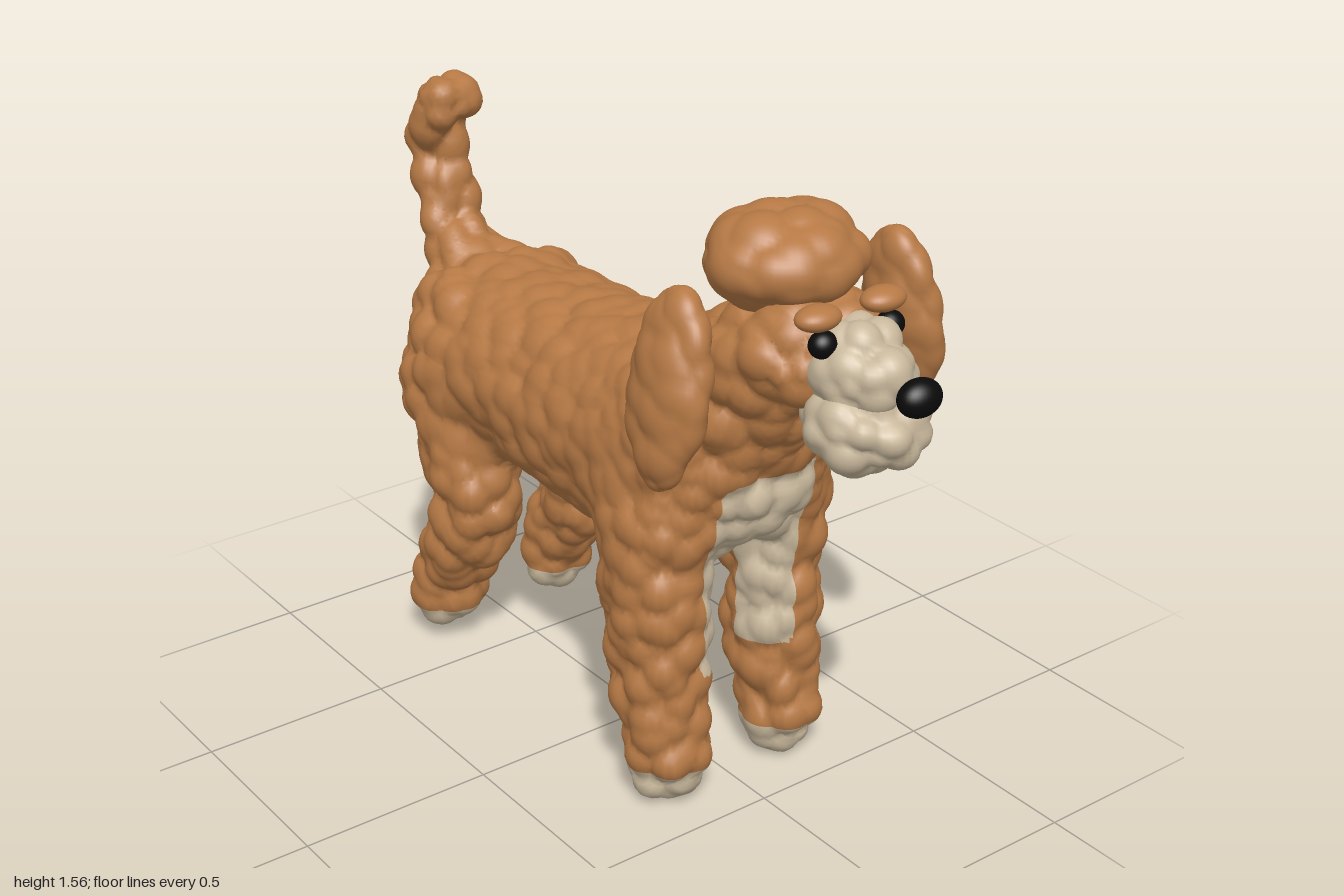
import * as THREE from 'three';
import { mergeVertices } from 'three/addons/utils/BufferGeometryUtils.js';

const mat = (name, color) => {
  const m = new THREE.MeshStandardMaterial({ color });
  m.name = name;
  return m;
};

// Seeded cell noise: rounded tufts with creases between them
const hash = (x, y, z, k) => {
  const s = Math.sin(x * 127.1 + y * 311.7 + z * 74.7 + k * 53.3) * 43758.5453;
  return s - Math.floor(s);
};
function tuft(x, y, z) {
  const ix = Math.floor(x), iy = Math.floor(y), iz = Math.floor(z);
  let best = 1;
  for (let a = ix - 1; a <= ix + 1; a++)
    for (let b = iy - 1; b <= iy + 1; b++)
      for (let c = iz - 1; c <= iz + 1; c++) {
        const dx = a + hash(a, b, c, 1) - x;
        const dy = b + hash(a, b, c, 2) - y;
        const dz = c + hash(a, b, c, 3) - z;
        best = Math.min(best, dx * dx + dy * dy + dz * dz);
      }
  return 0.5 - best;
}

// Push a surface in and out along its normals to make curly fur
function fluff(geo, cell, amp) {
  geo.computeVertexNormals();
  const p = geo.attributes.position, n = geo.attributes.normal;
  for (let i = 0; i < p.count; i++) {
    const x = p.getX(i), y = p.getY(i), z = p.getZ(i);
    const d = amp(y, z) * tuft(x / cell, y / cell, z / cell);
    p.setXYZ(i, x + n.getX(i) * d, y + n.getY(i) * d, z + n.getZ(i) * d);
  }
  geo.computeVertexNormals();
  return geo;
}

// Distance to a limb through points [x, y, z, half width in x, radius]
function limb(points, x, y, z) {
  let best = 9;
  for (let i = 1; i < points.length; i++) {
    const a = points[i - 1], b = points[i], dy = b[1] - a[1], dz = b[2] - a[2];
    const t = Math.max(0, Math.min(1, ((y - a[1]) * dy + (z - a[2]) * dz) / (dy * dy + dz * dz)));
    const r = a[4] + (b[4] - a[4]) * t, rx = a[3] + (b[3] - a[3]) * t;
    const ex = (x - a[0] - (b[0] - a[0]) * t) * r / rx, ey = y - a[1] - dy * t, ez = z - a[2] - dz * t;
    best = Math.min(best, Math.sqrt(ex * ex + ey * ey + ez * ez) - r);
  }
  return best;
}
const blend = (a, b, k) => Math.min(a, b) - Math.max(k - Math.abs(a - b), 0) ** 2 / (4 * k);

// Smooth skin over a distance field, one vertex per grid cell it crosses
function skin(field, lo, n, h) {
  const step = [1, n[0], n[0] * n[1]], val = new Float32Array(n[0] * n[1] * n[2]);
  const id = new Int32Array(val.length), pos = [], idx = [];
  const each = (end, f) => {
    for (let k = 0; k < n[2] - end; k++)
      for (let j = 0; j < n[1] - end; j++)
        for (let i = 0; i < n[0] - end; i++) f(i, j, k, i + j * step[1] + k * step[2]);
  };
  each(0, (i, j, k, c) => { val[c] = field(lo[0] + i * h, lo[1] + j * h, lo[2] + k * h); });
  each(1, (i, j, k, c) => {
    if (Math.abs(val[c]) > 4 * h) return;
    const s = [0, 0, 0];
    let count = 0;
    for (let e = 0; e < 12; e++) {
      const a = e % 3, b = (a + 1) % 3, d = (a + 2) % 3, u = Math.floor(e / 3) % 2, v = Math.floor(e / 6);
      const p = c + u * step[b] + v * step[d], v0 = val[p], v1 = val[p + step[a]];
      if (v0 < 0 === v1 < 0) continue;
      s[a] += v0 / (v0 - v1);
      s[b] += u;
      s[d] += v;
      count++;
    }
    if (!count) return;
    id[c] = pos.length / 3;
    pos.push(lo[0] + (i + s[0] / count) * h, lo[1] + (j + s[1] / count) * h, lo[2] + (k + s[2] / count) * h);
    for (let a = 0; a < 3; a++) {
      const inside = val[c] < 0, b = step[(a + 1) % 3], d = step[(a + 2) % 3];
      if (inside === val[c + step[a]] < 0) continue;
      const q = [id[c], id[c - b], id[c - b - d], id[c - d]];
      if (!inside) q.reverse();
      idx.push(q[0], q[1], q[2], q[0], q[2], q[3]);
    }
  });
  const geo = new THREE.BufferGeometry();
  geo.setAttribute('position', new THREE.Float32BufferAttribute(pos, 3));
  geo.setIndex(idx);
  return geo;
}

function ball(c, r, w = 32, h = 20) {
  const g = new THREE.SphereGeometry(1, w, h);
  g.deleteAttribute('uv');
  g.deleteAttribute('normal');
  const m = mergeVertices(g).scale(...r).translate(...c);
  m.computeVertexNormals();
  return m;
}

// Split triangles along an axis plane so colour borders stay straight
function cut(tris, axis, v) {
  return tris.flatMap(t => {
    const over = t.filter(a => a[axis] >= v).length;
    if (over === 0 || over === 3) return [t];
    return [1, -1].flatMap(s => {
      const poly = [];
      t.forEach((a, i) => {
        const b = t[(i + 1) % 3], da = s * (a[axis] - v), db = s * (b[axis] - v);
        if (da >= 0) poly.push(a);
        if (da * db < 0) poly.push(a.map((c, k) => c + (b[k] - c) * da / (da - db)));
      });
      return poly.slice(2).map((c, i) => [poly[0], poly[i + 1], c]);
    });
  });
}

// Two material groups: 0 outside the marking, 1 inside it
function paint(geo, cuts, inside) {
  const g = geo.toNonIndexed(), p = g.attributes.position, n = g.attributes.normal;
  let tris = [];
  for (let i = 0; i < p.count; i += 3)
    tris.push([i, i + 1, i + 2].map(k => [p.getX(k), p.getY(k), p.getZ(k), n.getX(k), n.getY(k), n.getZ(k)]));
  for (const [axis, v] of cuts) tris = cut(tris, axis, v);
  const parts = [[], []];
  for (const t of tris) {
    const mid = [0, 1, 2].map(k => (t[0][k] + t[1][k] + t[2][k]) / 3);
    parts[inside(...mid) ? 1 : 0].push(t);
  }
  const all = parts.flat().flat(), out = new THREE.BufferGeometry();
  out.setAttribute('position', new THREE.Float32BufferAttribute(all.flatMap(v => v.slice(0, 3)), 3));
  out.setAttribute('normal', new THREE.Float32BufferAttribute(all.flatMap(v => v.slice(3)), 3));
  out.addGroup(0, parts[0].length * 3, 0);
  out.addGroup(parts[0].length * 3, parts[1].length * 3, 1);
  return out;
}

// Limbs of the coat; legs are mirrored in x
const trunk = [[0, 0.89, -0.68, 0.2, 0.16], [0, 0.85, -0.55, 0.275, 0.222], [0, 0.835, -0.2, 0.272, 0.258],
  [0, 0.845, 0.1, 0.272, 0.277], [0, 0.9, 0.265, 0.265, 0.272], [0, 1.07, 0.4, 0.213, 0.185],
  [0, 1.23, 0.56, 0.175, 0.138], [0, 1.25, 0.64, 0.168, 0.123]];
const frontLeg = [[0.14, 0.92, 0.25, 0.09, 0.12], [0.185, 0.72, 0.285, 0.112, 0.14], [0.18, 0.5, 0.29, 0.112, 0.135],
  [0.178, 0.3, 0.302, 0.102, 0.12], [0.175, 0.13, 0.335, 0.098, 0.096], [0.18, 0.075, 0.34, 0.086, 0.07]];
const hindLeg = [[0.12, 0.92, -0.63, 0.09, 0.11], [0.17, 0.74, -0.6, 0.112, 0.15], [0.18, 0.6, -0.52, 0.112, 0.135],
  [0.18, 0.48, -0.497, 0.108, 0.118], [0.18, 0.35, -0.53, 0.1, 0.105], [0.18, 0.2, -0.637, 0.088, 0.09],
  [0.18, 0.12, -0.655, 0.09, 0.085], [0.18, 0.1, -0.658, 0.084, 0.072]];
const tail = [[0, 0.95, -0.75, 0.1, 0.085], [0, 1.05, -0.82, 0.085, 0.072], [0, 1.17, -0.887, 0.07, 0.066],
  [0, 1.3, -0.918, 0.068, 0.07], [0, 1.39, -0.893, 0.07, 0.068], [0, 1.425, -0.865, 0.08, 0.068]];

export function createModel() {
  const brown = mat('brown fur', 0xb67945);
  const cream = mat('cream fur', 0xc9b89c);
  const black = mat('black', 0x0a0a0a);
  const dog = new THREE.Group();
  dog.name = 'dog';
  const add = (name, geo, material) => {
    const m = new THREE.Mesh(geo, material);
    m.name = name;
    dog.add(m);
    return m;
  };

  // Coat: trunk, neck, head, legs and tail in one skin, smoother on the flanks
  const coat = skin((x, y, z) => {
    const legs = Math.min(limb(frontLeg, Math.abs(x), y, z), limb(hindLeg, Math.abs(x), y, z));
    return blend(blend(limb(trunk, x, y, z), legs, 0.08), limb(tail, x, y, z), 0.06);
  }, [-0.4, -0.04, -1.04], [58, 114, 134], 0.014);
  fluff(coat, 0.08, (y, z) =>
    0.027 + 0.019 * Math.max(0, Math.min(1, Math.max(Math.abs(z + 0.12) - 0.4, 0.64 - y) * 10)));

  // Rounded bib on the chest and inner front legs, and the paws
  const bib = (x, y, z) => z > 0.3 &&
    Math.hypot(Math.max(Math.abs(x) - 0.11, 0), Math.max(Math.abs(y - 0.615) - 0.245, 0)) < 0.03;
  const cuts = [[0, -0.14], [0, 0.14], [1, 0.34], [1, 0.89], [2, 0.3], [1, 0.095]];
  add('coat', paint(coat, cuts, (x, y, z) => y < 0.095 || bib(x, y, z)), [brown, cream]);

  // Topknot, muzzle and nose
  add('topknot', fluff(ball([0, 1.425, 0.52], [0.186, 0.115, 0.168], 64, 40), 0.085, () => 0.025), brown);
  add('upperMuzzle', fluff(ball([0, 1.245, 0.778], [0.104, 0.105, 0.123], 56, 36), 0.07, () => 0.042), cream);
  add('lowerMuzzle', fluff(ball([0, 1.128, 0.8], [0.13, 0.1, 0.13], 56, 36), 0.07, () => 0.042), cream);
  add('nose', ball([0, 1.245, 0.96], [0.055, 0.043, 0.04]), black);

  // Ears, eyes and eyebrows
  for (const [side, s] of [['left', 1], ['right', -1]]) {
    const ear = add(side + 'Ear', fluff(ball([0, 0, 0], [0.063, 0.226, 0.112], 48, 48), 0.07, () => 0.018), brown);
    ear.position.set(s * 0.337, 1.205, 0.545);
    ear.rotation.z = s * 0.16;
    add(side + 'Eye', ball([s * 0.095, 1.32, 0.76], [0.034, 0.031, 0.03]), black);
    add(side + 'Eyebrow', ball([s * 0.092, 1.373, 0.738], [0.057, 0.028, 0.042]), brown);
  }
  return dog;
}
